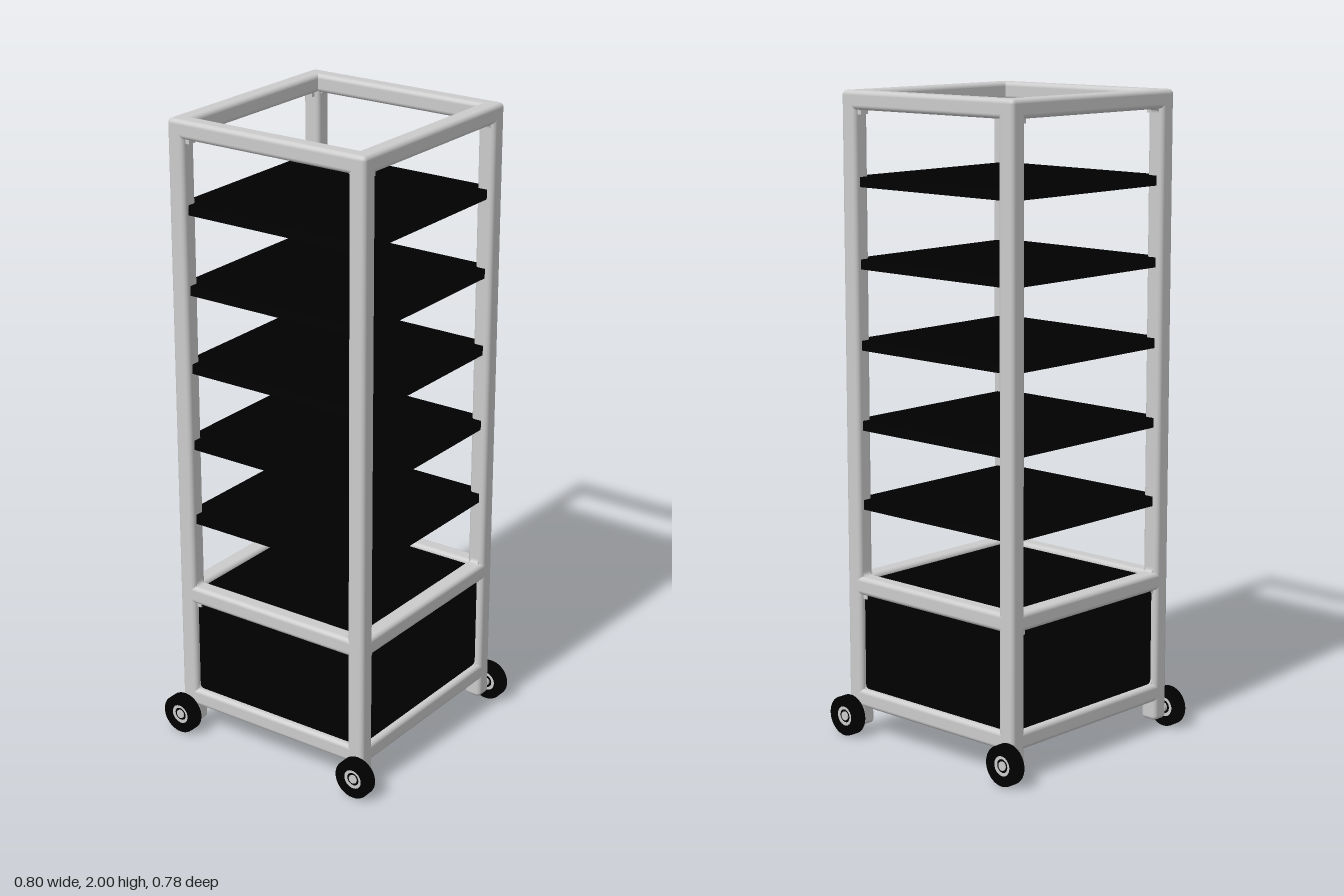
import * as THREE from 'three';
import { toCreasedNormals } from 'three/addons/utils/BufferGeometryUtils.js';
import { RoundedBoxGeometry } from 'three/addons/geometries/RoundedBoxGeometry.js';

const W = 0.348, D = 0.358;   // half width and half depth of the frame
const T = 0.057, R = 0.014;   // bar thickness and edge rounding
const TOP = 2, FOOT = 0.03;

const grey = new THREE.MeshStandardMaterial({ color: 0xcccccc });
const black = new THREE.MeshStandardMaterial({ color: 0x000000 });

function add(parent, name, geo, mat, x = 0, y = 0, z = 0) {
  const mesh = new THREE.Mesh(geo, mat);
  mesh.name = name;
  mesh.position.set(x, y, z);
  parent.add(mesh);
  return mesh;
}

function group(parent, name) {
  const g = new THREE.Group();
  g.name = name;
  parent.add(g);
  return g;
}

const bar = (w, h, d) => new RoundedBoxGeometry(w, h, d, 4, R);

// Ring of rectangular section around the z axis; inner = 0 gives a disc
function ring(inner, outer, z0, z1) {
  const p = [[inner, z0], [outer, z0], [outer, z1], [inner, z1]];
  if (inner > 0) p.push([inner, z0]);
  const geo = new THREE.LatheGeometry(p.map(q => new THREE.Vector2(...q)), 40);
  geo.rotateX(Math.PI / 2);
  return toCreasedNormals(geo, 0.6);
}

// Concave fillet that fills the inner corner between two bars, corner at the origin
function filletGeometry() {
  const f = 0.014, shape = new THREE.Shape();
  shape.moveTo(-f, -f);
  shape.lineTo(f, -f);
  shape.lineTo(f, 0);
  shape.quadraticCurveTo(0, 0, 0, f);
  shape.lineTo(-f, f);
  const depth = T - 2 * R;
  const geo = new THREE.ExtrudeGeometry(shape, { depth, bevelEnabled: false, curveSegments: 5 });
  return geo.translate(0, 0, -depth / 2);
}

function wheel() {
  const g = new THREE.Group();
  add(g, 'tyre', ring(0.031, 0.0625, 0.002, 0.033), black);
  add(g, 'hubRing', ring(0.021, 0.031, 0.002, 0.031), grey);
  add(g, 'hubDisc', ring(0, 0.021, 0.002, 0.029), black);
  add(g, 'axleCap', ring(0, 0.014, -0.01, 0.032), grey);
  return g;
}

export function createModel() {
  const model = new THREE.Group();
  model.name = 'rollingShelfRack';
  const px = W - T / 2, pz = D - T / 2;   // post centres

  // Corner posts, reaching below the bottom rails as legs
  const frame = group(model, 'frame');
  const postGeo = bar(T, TOP - FOOT, T);
  for (const sx of [1, -1]) for (const sz of [1, -1]) {
    add(frame, 'cornerPost', postGeo, grey, sx * px, (TOP + FOOT) / 2, sz * pz);
  }

  // Bottom, middle and top rails on all four sides
  const railX = bar(2 * W - 0.014, T, T), railZ = bar(T, T, 2 * D - 0.014);
  const levels = { bottomRail: 0.1225, middleRail: 0.4835, topRail: TOP - T / 2 };
  for (const [name, y] of Object.entries(levels)) for (const s of [1, -1]) {
    add(frame, name, railX, grey, 0, y, s * pz);
    add(frame, name, railZ, grey, s * px, y, 0);
  }

  // Fillets in the corners of the four side openings
  const filletGeo = filletGeometry();
  const sides = [[0, W, D], [Math.PI / 2, D, W], [Math.PI, W, D], [-Math.PI / 2, D, W]];
  for (const [angle, half, out] of sides) {
    const side = group(frame, 'openingFillets');
    side.rotation.y = angle;
    for (const y of [levels.bottomRail, levels.middleRail]) for (const s of [0, 1]) {
      const x = (half - T) * (s ? 1 : -1);
      const z = out - T / 2;
      add(side, 'lowerFillet', filletGeo, grey, x, y + T / 2, z).rotation.z = s * Math.PI / 2;
    }
    for (const y of [levels.middleRail, levels.topRail]) for (const s of [0, 1]) {
      const x = (half - T) * (s ? -1 : 1);
      const z = out - T / 2;
      add(side, 'upperFillet', filletGeo, grey, x, y - T / 2, z).rotation.z = Math.PI - s * Math.PI / 2;
    }
  }

  // Shelves
  const bx = W - 0.02, bz = D - 0.02, thick = 0.03;
  const board = new THREE.BoxGeometry(2 * bx, thick, 2 * bz);
  for (let i = 0; i < 5; i++) add(model, 'shelf' + (i + 1), board, black, 0, 0.738 + i * 0.2475, 0);

  // Lower compartment: a lid and four walls, open underneath
  const box = group(model, 'lowerCompartment');
  add(box, 'lid', board, black, 0, 0.483, 0);
  const y0 = 0.12, y1 = 0.48, yc = (y0 + y1) / 2;
  const frontWall = new THREE.BoxGeometry(2 * bx, y1 - y0, thick);
  const sideWall = new THREE.BoxGeometry(thick, y1 - y0, 2 * bz);
  for (const s of [1, -1]) {
    add(box, s > 0 ? 'frontPanel' : 'backPanel', frontWall, black, 0, yc, s * (bz - thick / 2));
    add(box, s > 0 ? 'leftPanel' : 'rightPanel', sideWall, black, s * (bx - thick / 2), yc, 0);
  }

  // Wheels on the front and back of each leg
  for (const sz of [1, -1]) for (const sx of [1, -1]) {
    const w = wheel();
    w.name = (sz > 0 ? 'front' : 'back') + (sx > 0 ? 'Left' : 'Right') + 'Wheel';
    w.position.set(sx * 0.336, 0.0625, sz * D);
    if (sz < 0) w.rotation.y = Math.PI;
    model.add(w);
  }
  return model;
}
